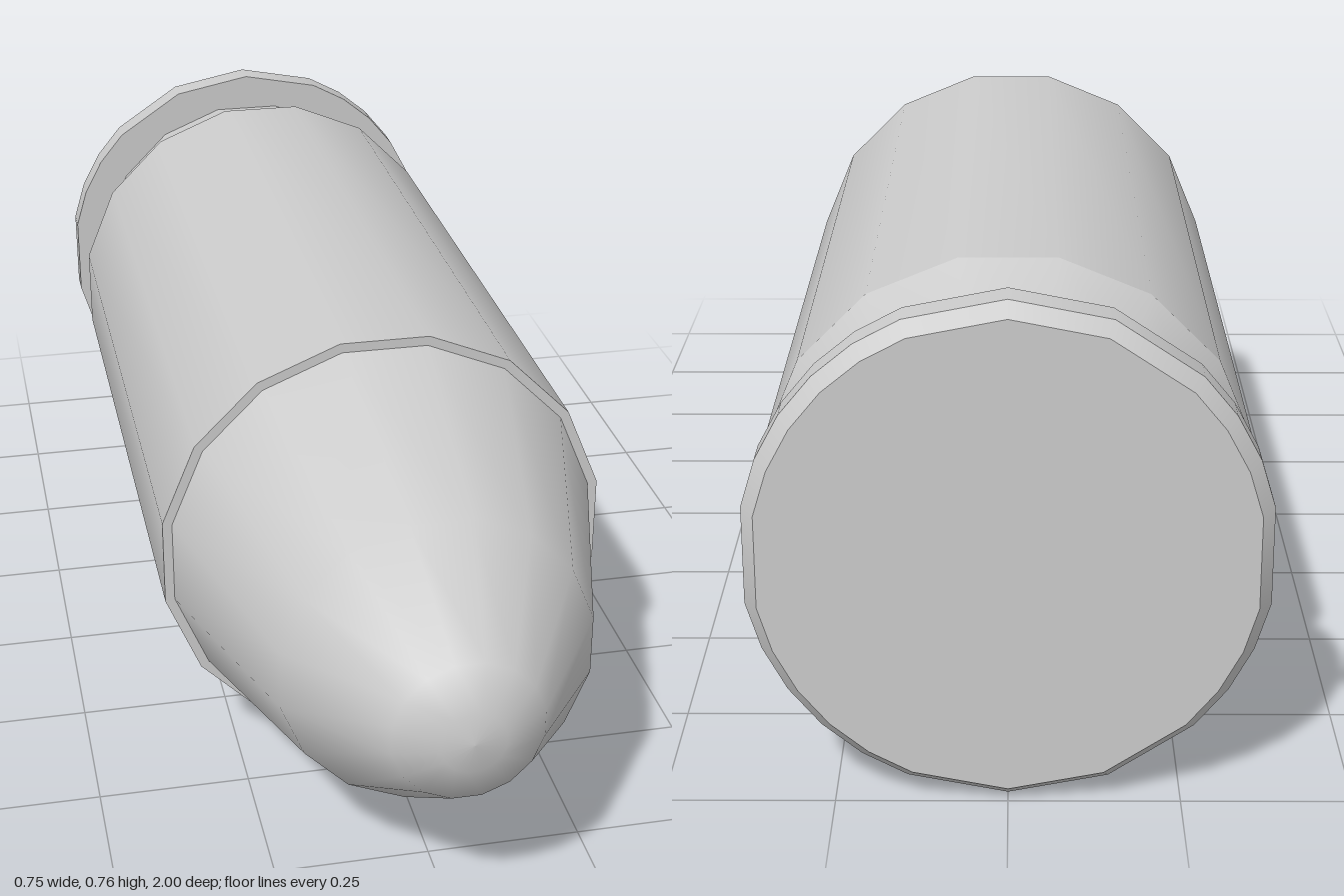
import * as THREE from 'three';

const CENTRE_Y = 0.38;
const material = new THREE.MeshStandardMaterial({ color: 0xcccccc, side: THREE.DoubleSide });

// Facet corner positions, in 1/32 turns starting at the lowest point
const evenSteps = Array.from({ length: 17 }, (_, i) => 2 * i + 1);
const rimSteps = [0, 2, 3, 4, 5, 6, 7, 9, 10, 11, 12, 13, 14, 16, 18, 20, 21, 22, 23, 25, 26, 27, 28, 30, 32];

// Turned band along z from [radius, z] points, with corners at the given steps
function band(profile, steps) {
  const points = profile.map(([r, z]) => new THREE.Vector2(r, z));
  const count = steps.length - 1;
  const geo = new THREE.LatheGeometry(points, count);
  const axis = new THREE.Vector3(0, 1, 0);
  const v = new THREE.Vector3();
  for (const name of ['position', 'normal']) {
    const attr = geo.attributes[name];
    for (let i = 0; i < attr.count; i++) {
      const seg = Math.floor(i / points.length);
      const turn = (steps[seg] / 32 - seg / count) * Math.PI * 2;
      v.fromBufferAttribute(attr, i).applyAxisAngle(axis, turn);
      attr.setXYZ(i, v.x, v.y, v.z);
    }
  }
  return geo.rotateX(Math.PI / 2);
}

// A part made of several bands with sharp edges between them
function part(name, steps, profiles) {
  const group = new THREE.Group();
  group.name = name;
  profiles.forEach((profile, i) => {
    const mesh = new THREE.Mesh(band(profile, steps), material);
    mesh.name = name + 'Surface' + (i + 1);
    group.add(mesh);
  });
  group.position.y = CENTRE_Y;
  return group;
}

export function createModel() {
  const model = new THREE.Group();
  model.name = 'cartridge';

  // Base rim: flat back, chamfer, edge, front shoulder
  model.add(part('rim', rimSteps, [
    [[0, -1], [0.36, -1]],
    [[0.36, -1], [0.38, -0.975]],
    [[0.38, -0.975], [0.38, -0.925]],
    [[0.38, -0.925], [0.3, -0.925]],
  ]));

  // Case: extractor groove, straight wall, mouth lip
  model.add(part('case', evenSteps, [
    [[0.317, -0.925], [0.317, -0.87], [0.374, -0.75]],
    [[0.374, -0.75], [0.374, 0.405]],
    [[0.374, 0.405], [0.34, 0.405]],
  ]));

  // Rounded tapering tip
  model.add(part('tip', evenSteps, [
    [[0.358, 0.405], [0.248, 0.78], [0.117, 0.965], [0.05, 0.995], [0, 1]],
  ]));

  return model;
}
